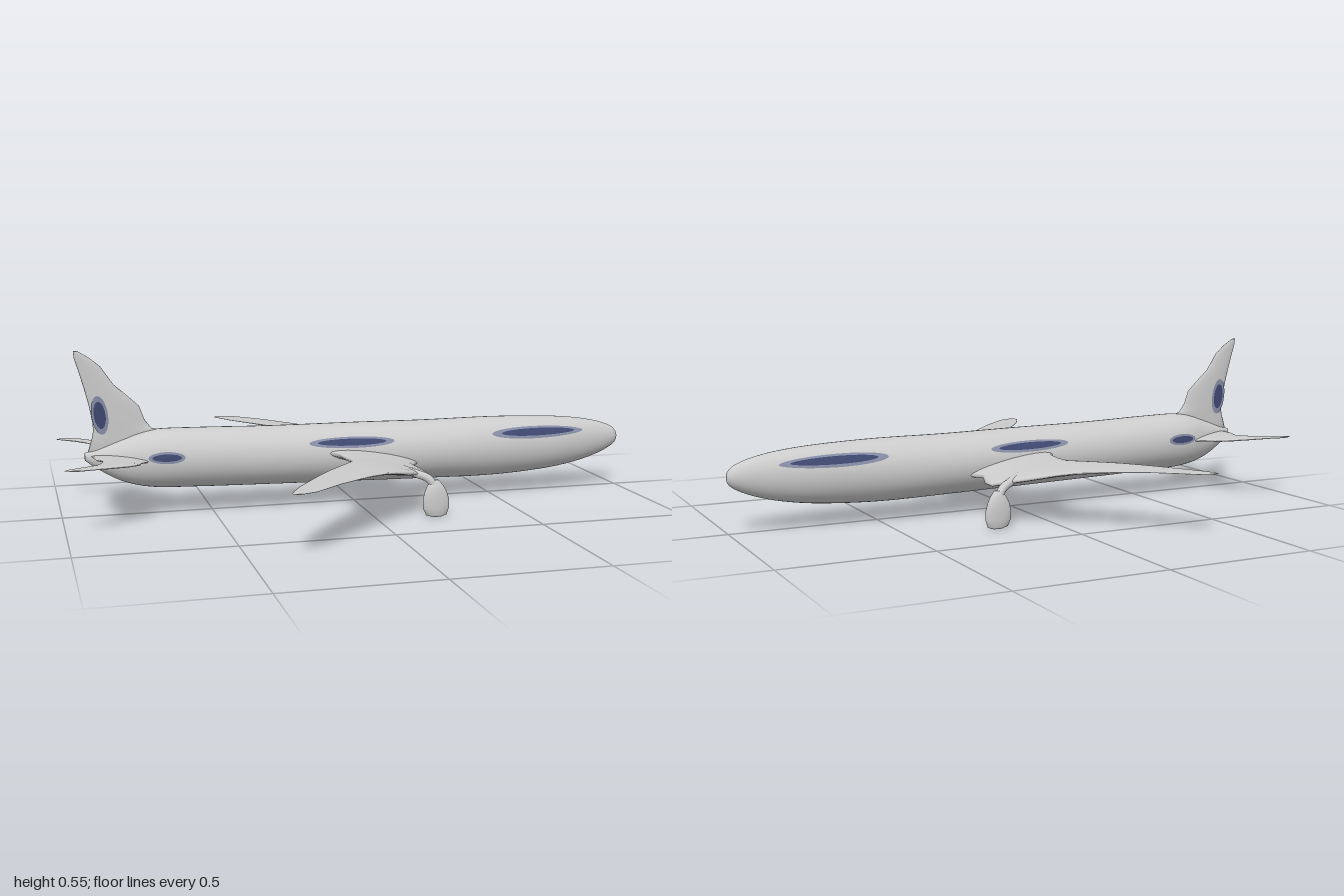
import * as THREE from 'three';

const grey = new THREE.MeshStandardMaterial({ color: 0xcccccc, side: THREE.DoubleSide });
const paleBlue = new THREE.MeshStandardMaterial({ color: 0x878da6, side: THREE.DoubleSide });
const darkBlue = new THREE.MeshStandardMaterial({ color: 0x3f4870, side: THREE.DoubleSide });

function add(parent, name, geometry, material = grey) {
  const mesh = new THREE.Mesh(geometry, material);
  mesh.name = name;
  parent.add(mesh);
  return mesh;
}

// Smooth skin over a row of closed rings, capped at both ends
function loft(rings) {
  const n = rings[0].length, pos = [], idx = [];
  rings.forEach(r => r.forEach(p => pos.push(p.x, p.y, p.z)));
  for (let i = 0; i < rings.length - 1; i++) {
    for (let j = 0; j < n; j++) {
      const k = (j + 1) % n, a = i * n + j, b = i * n + k;
      idx.push(a, a + n, b, b, a + n, b + n);
    }
  }
  [0, rings.length - 1].forEach((i, end) => {
    const c = new THREE.Vector3();
    rings[i].forEach(p => c.addScaledVector(p, 1 / n));
    const ci = pos.length / 3;
    pos.push(c.x, c.y, c.z);
    for (let j = 0; j < n; j++) {
      const a = i * n + j, b = i * n + (j + 1) % n;
      idx.push(ci, end ? b : a, end ? a : b);
    }
  });
  const g = new THREE.BufferGeometry();
  g.setAttribute('position', new THREE.Float32BufferAttribute(pos, 3));
  g.setIndex(idx);
  g.computeVertexNormals();
  return g;
}

const ring = (n, f) => Array.from({ length: n }, (_, j) => f(j / n * Math.PI * 2));

// Horizontal surface; sections: [z, rear x, front x, rear y, front y, thickness]
function panel(sections, s) {
  return loft(sections.map(([z, x0, x1, y0, y1, t]) => ring(20, a => {
    const u = 0.5 + 0.5 * Math.cos(a);
    return new THREE.Vector3(x0 + (x1 - x0) * u, y0 + (y1 - y0) * u - s * t / 2 * Math.sin(a), s * z);
  })));
}

// Upright solid; sections: [y, rear x, front x, centre z, thickness]
function upright(sections) {
  return loft(sections.map(([y, x0, x1, z, t]) => ring(20, a =>
    new THREE.Vector3((x0 + x1) / 2 + (x1 - x0) / 2 * Math.cos(a), y, z + t / 2 * Math.sin(a)))));
}

// Fuselage stations: x, bottom, top, half width
const stations = [
  [-0.92, 0.19, 0.215, 0.008], [-0.88, 0.16, 0.225, 0.025], [-0.8, 0.115, 0.255, 0.055],
  [-0.7, 0.09, 0.283, 0.083], [-0.55, 0.083, 0.284, 0.093], [-0.3, 0.077, 0.278, 0.097],
  [0, 0.071, 0.276, 0.103], [0.25, 0.066, 0.273, 0.103], [0.5, 0.063, 0.274, 0.091],
  [0.7, 0.074, 0.268, 0.076], [0.83, 0.093, 0.257, 0.058], [0.92, 0.118, 0.24, 0.041],
  [0.975, 0.143, 0.22, 0.027], [0.995, 0.16, 0.203, 0.016], [1, 0.172, 0.192, 0.008]];
const curveOf = f => new THREE.CatmullRomCurve3(
  stations.map(s => new THREE.Vector3(...f(s))), false, 'catmullrom');
const heights = curveOf(s => [s[0], s[1], s[2]]);
const widths = curveOf(s => [s[0], s[3], 0]);

function hullPoint(t, a, lift = 0) {
  const h = heights.getPoint(t), w = widths.getPoint(t).y;
  return new THREE.Vector3(h.x, (h.y + h.z) / 2 + ((h.z - h.y) / 2 + lift) * Math.sin(a),
    (w + lift) * Math.cos(a));
}

function stationAt(x) {
  let lo = 0, hi = 1;
  for (let i = 0; i < 24; i++) {
    const m = (lo + hi) / 2;
    if (heights.getPoint(m).x < x) lo = m; else hi = m;
  }
  return lo;
}

// Oval paint patch wrapped over the hull side
function hullPatch(x, rx, angle, ra, s, lift) {
  const g = new THREE.RingGeometry(0.001, 1, 32, 6), p = g.attributes.position;
  for (let i = 0; i < p.count; i++) {
    const a = angle + p.getY(i) * ra;
    const v = hullPoint(stationAt(x + p.getX(i) * rx), s > 0 ? a : Math.PI - a, lift);
    p.setXYZ(i, v.x, v.y, v.z);
  }
  if (s < 0) g.setIndex(Array.from(g.index.array).reverse());
  g.computeVertexNormals();
  return g;
}

const wing = [
  [0.05, -0.13, 0.22, 0.19, 0.14, 0.045], [0.1, -0.11, 0.2, 0.19, 0.14, 0.045],
  [0.14, -0.09, 0.175, 0.19, 0.14, 0.042], [0.2, -0.083, 0.195, 0.19, 0.13, 0.038],
  [0.24, -0.08, 0.195, 0.192, 0.13, 0.035], [0.27, -0.083, 0.155, 0.193, 0.14, 0.032],
  [0.31, -0.11, 0.125, 0.195, 0.15, 0.03], [0.36, -0.15, 0.07, 0.197, 0.165, 0.025],
  [0.42, -0.2, 0, 0.199, 0.18, 0.018], [0.5, -0.26, -0.09, 0.199, 0.19, 0.01],
  [0.6, -0.33, -0.2, 0.198, 0.197, 0.005], [0.66, -0.363, -0.265, 0.198, 0.198, 0.004],
  [0.69, -0.376, -0.3, 0.198, 0.198, 0.004], [0.707, -0.372, -0.345, 0.198, 0.198, 0.003]];

const tailplane = [
  [0.02, -0.9, -0.7, 0.205, 0.19, 0.02], [0.08, -0.89, -0.72, 0.205, 0.19, 0.018],
  [0.12, -0.87, -0.75, 0.207, 0.193, 0.014], [0.16, -0.88, -0.755, 0.209, 0.197, 0.012],
  [0.2, -0.9, -0.79, 0.211, 0.202, 0.01], [0.235, -0.945, -0.85, 0.214, 0.207, 0.008],
  [0.26, -0.985, -0.89, 0.215, 0.211, 0.006], [0.275, -1, -0.915, 0.215, 0.213, 0.005],
  [0.285, -0.985, -0.945, 0.215, 0.214, 0.004]];

const fin = [
  [0.2, -0.915, -0.66, 0, 0.022], [0.27, -0.893, -0.64, 0, 0.022], [0.29, -0.89, -0.7, 0, 0.022],
  [0.32, -0.892, -0.722, 0, 0.021], [0.365, -0.9, -0.738, 0, 0.02], [0.4, -0.908, -0.775, 0, 0.018],
  [0.44, -0.918, -0.82, 0, 0.016], [0.5, -0.935, -0.86, 0, 0.013], [0.53, -0.944, -0.895, 0, 0.01],
  [0.553, -0.946, -0.932, 0, 0.007]];

const pod = [
  [0, 0.185, 0.22, 0.306, 0.014], [0.006, 0.165, 0.237, 0.306, 0.025], [0.03, 0.154, 0.245, 0.306, 0.03],
  [0.06, 0.153, 0.244, 0.305, 0.031], [0.085, 0.16, 0.236, 0.304, 0.03], [0.105, 0.17, 0.225, 0.301, 0.026],
  [0.122, 0.185, 0.21, 0.298, 0.016]];

// Patches: centre x, half length, angle up from the side, half angle
const patches = [
  ['nosePatch', 0.665, 0.18, 0.55, 0.24], ['middlePatch', -0.03, 0.15, 0.5, 0.2],
  ['tailPatch', -0.66, 0.06, 0.15, 0.2]];

export function createModel() {
  const model = new THREE.Group();
  model.name = 'airplane';

  const hull = [];
  for (let i = 0; i <= 84; i++) hull.push(ring(40, a => hullPoint(i / 84, a)));
  add(model, 'fuselage', loft(hull));
  add(model, 'tailFin', upright(fin));

  for (const s of [1, -1]) {
    const side = s > 0 ? 'left' : 'right';
    add(model, side + 'Wing', panel(wing, s));
    add(model, side + 'Tailplane', panel(tailplane, s));

    // Pod hung below the leading edge on a curved arm
    const arm = [[0.1, 0.155, 0.25], [0.14, 0.142, 0.275], [0.175, 0.128, 0.292], [0.2, 0.095, 0.301]];
    const path = new THREE.CatmullRomCurve3(arm.map(([x, y, z]) => new THREE.Vector3(x, y, s * z)));
    add(model, side + 'PodArm', new THREE.TubeGeometry(path, 16, 0.014, 10));
    add(model, side + 'Pod', upright(pod.map(([y, a, b, z, t]) => [y, a, b, s * z, t])));

    // Blue paint with a paler rim
    for (const [name, x, rx, a, ra] of patches) {
      add(model, side + name + 'Rim', hullPatch(x, rx, a, ra, s, 0.0015), paleBlue);
      add(model, side + name, hullPatch(x, rx * 0.8, a, ra * 0.6, s, 0.003), darkBlue);
    }
    [[1, 0.0105, paleBlue], [0.7, 0.0115, darkBlue]].forEach(([k, z, m], i) => {
      const spot = add(model, side + 'FinPatch' + (i ? '' : 'Rim'), new THREE.CircleGeometry(1, 28), m);
      spot.scale.set(0.027 * k, 0.065 * k, 1);
      spot.position.set(-0.868, 0.34, s * z);
      spot.rotation.set(0, s > 0 ? 0 : Math.PI, s * 0.12);
    });
  }
  return model;
}
